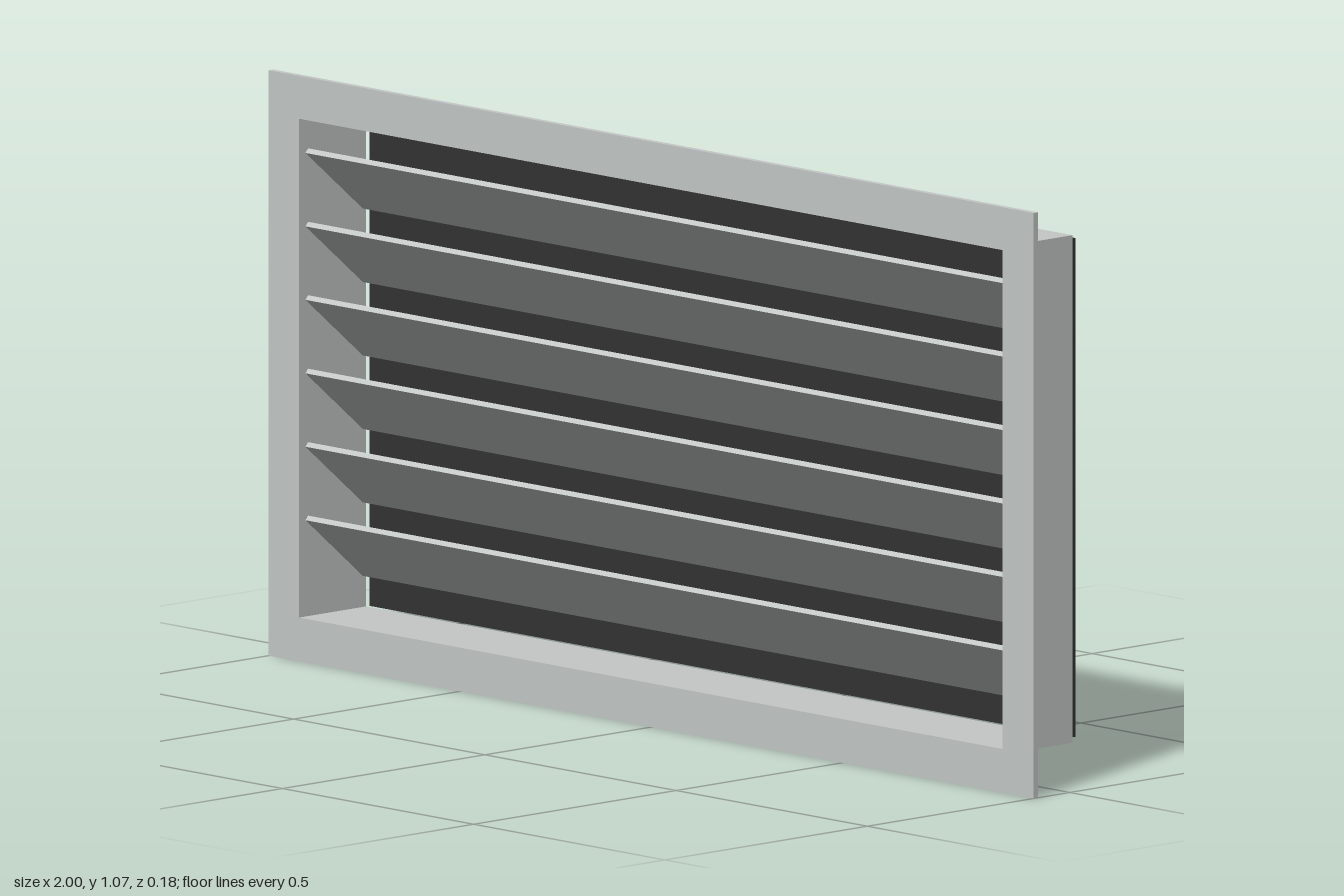
import * as THREE from 'three';

const HALF_W = 0.92, BOTTOM = 0.08, TOP = 0.99; // clear opening
const MID = (BOTTOM + TOP) / 2;

// Rectangular ring around the opening, extruded from zBack to zFront
function ring(name, halfW, y0, y1, zBack, zFront, material) {
  const shape = new THREE.Shape([
    new THREE.Vector2(-halfW, y0), new THREE.Vector2(halfW, y0),
    new THREE.Vector2(halfW, y1), new THREE.Vector2(-halfW, y1),
  ]);
  shape.holes.push(new THREE.Path([
    new THREE.Vector2(-HALF_W, BOTTOM), new THREE.Vector2(-HALF_W, TOP),
    new THREE.Vector2(HALF_W, TOP), new THREE.Vector2(HALF_W, BOTTOM),
  ]));
  const geometry = new THREE.ExtrudeGeometry(shape, { depth: zFront - zBack, bevelEnabled: false });
  const mesh = new THREE.Mesh(geometry, material);
  mesh.name = name;
  mesh.position.z = zBack;
  return mesh;
}

export function createModel() {
  const aluminium = new THREE.MeshStandardMaterial({ color: 0xc4c8c7 });
  aluminium.name = 'aluminium';
  const darkMesh = new THREE.MeshStandardMaterial({ color: 0x333333 });
  darkMesh.name = 'dark screen';

  const model = new THREE.Group();
  model.name = 'louvreVent';

  // Front flange and the sleeve behind it
  model.add(ring('flange', 1, 0, 1.068, 0.078, 0.09, aluminium));
  model.add(ring('sleeve', 0.928, 0.072, 0.998, -0.075, 0.078, aluminium));

  // Sloping blades, high at the front and low at the back
  const blades = new THREE.Group();
  blades.name = 'blades';
  const bladeGeometry = new THREE.BoxGeometry(HALF_W * 2, 0.01, 0.185);
  for (let i = 0; i < 6; i++) {
    const blade = new THREE.Mesh(bladeGeometry, aluminium);
    blade.name = 'blade' + (i + 1);
    blade.position.y = MID + (i - 2.5) * 0.134;
    blade.rotation.x = THREE.MathUtils.degToRad(-40);
    blades.add(blade);
  }
  model.add(blades);

  // Backing screen, set slightly off the sleeve
  const screen = new THREE.Mesh(
    new THREE.BoxGeometry(HALF_W * 2, TOP - BOTTOM, 0.006), darkMesh);
  screen.name = 'backScreen';
  screen.position.set(0, MID, -0.087);
  model.add(screen);

  return model;
}
